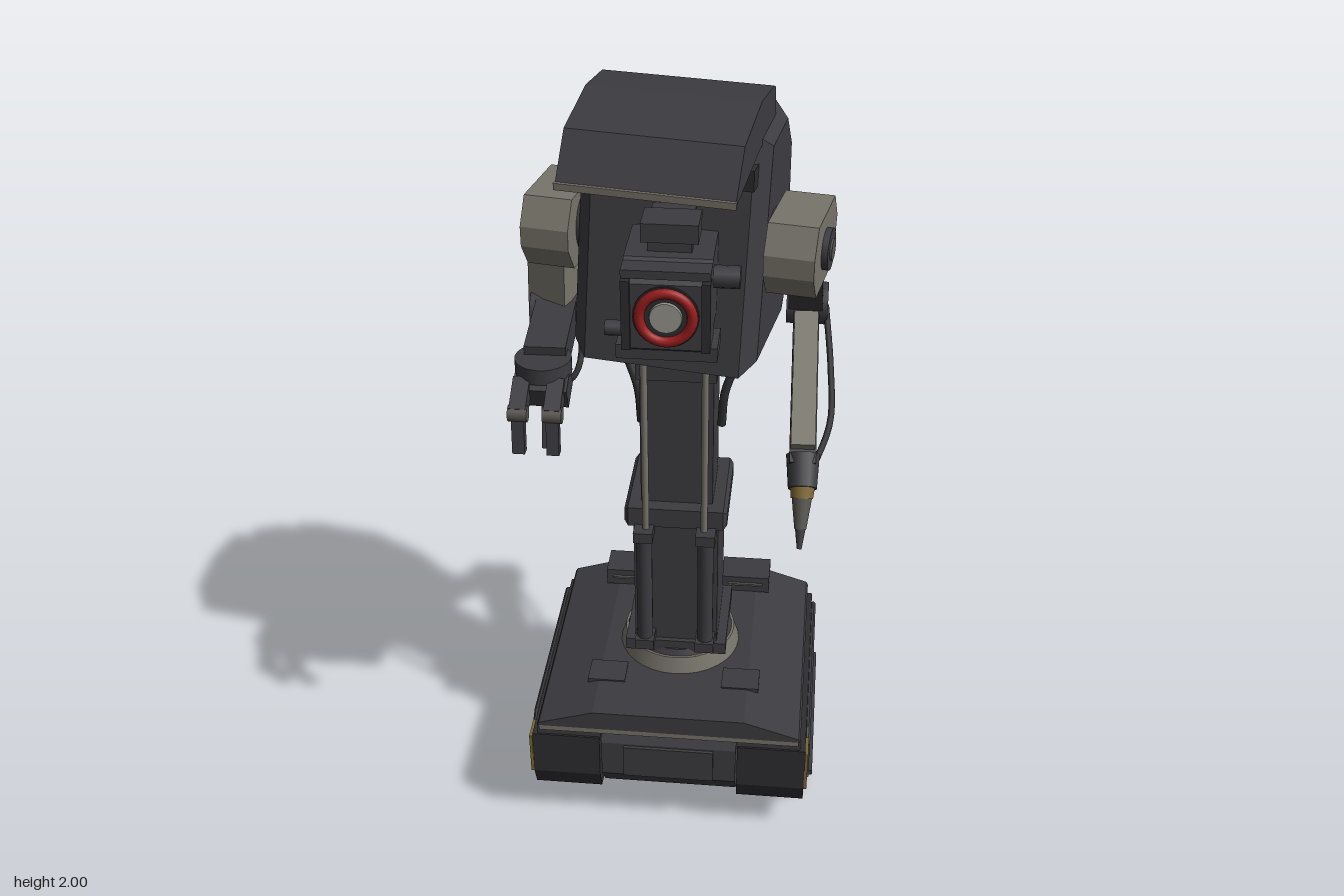
import * as THREE from 'three';

const mat = (name, color) => {
  const m = new THREE.MeshStandardMaterial({ color });
  m.name = name;
  return m;
};
const V = (x, y, z) => new THREE.Vector3(x, y, z);

export function createModel() {
  const dark = mat('charcoal', 0x3c3b40);
  const black = mat('trackBlack', 0x2d2d30);
  const light = mat('warmGrey', 0x77746a);
  const steel = mat('steel', 0x56554f);
  const gold = mat('ochre', 0x7d6534);
  const red = mat('red', 0x9a1c1c);
  const lens = mat('lens', 0x99968e);

  const root = new THREE.Group();
  const group = (name, parent = root) => {
    const g = new THREE.Group();
    g.name = name;
    parent.add(g);
    return g;
  };
  const add = (p, name, geo, m, x = 0, y = 0, z = 0) => {
    const o = new THREE.Mesh(geo, m);
    o.name = name;
    o.position.set(x, y, z);
    p.add(o);
    return o;
  };
  const box = (p, name, m, w, h, d, x, y, z) => add(p, name, new THREE.BoxGeometry(w, h, d), m, x, y, z);
  // side profile of [z, y] points, extruded across x with an optional chamfer
  const prism = (p, name, m, pts, w, x = 0, bevel = 0) => {
    const shape = new THREE.Shape(pts.map(([z, y]) => new THREE.Vector2(z, y)));
    const g = new THREE.ExtrudeGeometry(shape, {
      depth: w - 2 * bevel, bevelEnabled: bevel > 0, bevelSize: bevel, bevelThickness: bevel,
      bevelOffset: -bevel, bevelSegments: 1,
    });
    g.translate(0, 0, -(w / 2 - bevel));
    g.rotateY(-Math.PI / 2);
    return add(p, name, g, m, x);
  };
  const place = (p, name, g, m, a, b) => {
    const o = new THREE.Mesh(g, m);
    o.name = name;
    o.position.copy(a).lerp(b, 0.5);
    o.lookAt(b);
    p.add(o);
    return o;
  };
  const beam = (p, name, m, a, b, w, h) => place(p, name, new THREE.BoxGeometry(w, h, a.distanceTo(b)), m, a, b);
  const rod = (p, name, m, a, b, r0, r1 = r0, n = 14) =>
    place(p, name, new THREE.CylinderGeometry(r1, r0, a.distanceTo(b), n).rotateX(Math.PI / 2), m, a, b);
  const tube = (p, name, m, pts, r) =>
    add(p, name, new THREE.TubeGeometry(new THREE.CatmullRomCurve3(pts), 16, r, 8), m);

  // ---- Tracked base ----
  const base = group('trackedBase');
  prism(base, 'hull', dark, [[-0.3, 0.36], [-0.335, 0.3], [-0.335, 0.19], [-0.28, 0.115],
    [0.28, 0.115], [0.335, 0.19], [0.335, 0.3], [0.3, 0.36]], 0.36);
  box(base, 'deckEdge', light, 0.69, 0.015, 0.68, 0, 0.345, 0);
  const deck = new THREE.Shape([[-0.35, 0.352], [0.35, 0.352], [0.345, 0.362], [0.2, 0.408], [-0.2, 0.408], [-0.345, 0.362]]
    .map(([x, y]) => new THREE.Vector2(x, y)));
  add(base, 'deck', new THREE.ExtrudeGeometry(deck, { depth: 0.68, bevelEnabled: false }), dark, 0, 0, -0.34);
  for (const s of [-1, 1]) {
    box(base, 'bumperPlate', dark, 0.24, 0.1, 0.012, 0, 0.245, s * 0.338);
    prism(base, 'track', black, [[-0.34, 0.32], [-0.343, 0.18], [-0.32, 0.13], [-0.155, 0.005], [0.155, 0.005],
      [0.25, 0.115], [0.32, 0.13], [0.343, 0.19], [0.34, 0.32]], 0.18, s * 0.274);
    box(base, 'trackCover', dark, 0.17, 0.03, 0.67, s * 0.265, 0.325, 0);
    prism(base, 'skirt', dark, [[-0.3, 0.32], [-0.335, 0.29], [-0.33, 0.2], [-0.22, 0.13], [0.22, 0.13],
      [0.27, 0.18], [0.28, 0.29], [0.24, 0.32]], 0.016, s * 0.368, 0.005);
    box(base, 'skirtRail', dark, 0.012, 0.015, 0.5, s * 0.38, 0.16, 0);
    for (const z of [-0.125, 0, 0.125]) {
      const hub = V(s * 0.355, 0.088, z);
      rod(base, 'roadWheel', dark, hub, V(s * 0.374, 0.088, z), 0.058, 0.058, 24);
      add(base, 'wheelRing', new THREE.TorusGeometry(0.045, 0.005, 6, 28).rotateY(Math.PI / 2), light, s * 0.374, 0.088, z);
      rod(base, 'wheelHub', black, hub, V(s * 0.379, 0.088, z), 0.025);
    }
    box(base, 'markerSide', gold, 0.008, 0.125, 0.065, s * 0.368, 0.253, 0.312);
    box(base, 'deckBox', dark, 0.137, 0.05, 0.095, s * 0.168, 0.432, -0.267);
    box(base, 'deckBoxLid', steel, 0.1, 0.006, 0.012, s * 0.168, 0.435, -0.218);
    box(base, 'deckHatch', dark, 0.1, 0.02, 0.08, s * 0.18, 0.402, 0.17);
  }
  add(base, 'turntable', new THREE.CylinderGeometry(0.15, 0.165, 0.05, 32), light, 0, 0.428, 0);
  add(base, 'turntableTop', new THREE.CylinderGeometry(0.135, 0.145, 0.02, 32), dark, 0, 0.46, 0);

  // ---- Telescopic column ----
  const column = group('column');
  box(column, 'columnFoot', dark, 0.27, 0.035, 0.26, 0, 0.477, 0);
  box(column, 'lowerSleeve', dark, 0.22, 0.42, 0.235, 0, 0.68, 0);
  prism(column, 'sleeveCollar', dark, [[-0.13, 0.87], [0.13, 0.87], [0.13, 0.925], [-0.13, 0.925]], 0.265, 0, 0.01);
  box(column, 'upperColumn', dark, 0.185, 0.46, 0.185, 0, 1.14, 0);
  box(column, 'columnHead', dark, 0.2, 0.08, 0.21, 0, 1.33, 0);
  for (const s of [-1, 1]) {
    rod(column, 'liftCylinder', dark, V(s * 0.08, 0.49, 0.145), V(s * 0.08, 0.875, 0.145), 0.021);
    rod(column, 'liftRod', light, V(s * 0.075, 0.87, 0.142), V(s * 0.075, 1.37, 0.142), 0.009);
    for (const y of [0.51, 0.86]) box(column, 'cylinderClamp', dark, 0.05, 0.03, 0.06, s * 0.08, y, 0.142);
    tube(column, 'sideCable', black, [V(s * 0.175, 1.38, -0.06), V(s * 0.145, 1.28, -0.05),
      V(s * 0.112, 1.19, -0.03), V(s * 0.104, 1.09, -0.03)], 0.011);
    tube(column, 'rearCable', black, [V(s * 0.045, 1.42, -0.19), V(s * 0.045, 1.3, -0.17),
      V(s * 0.04, 1.22, -0.14), V(s * 0.04, 1.16, -0.09)], 0.014);
  }
  for (const x of [-0.065, -0.02, 0.025, 0.07])
    rod(column, 'rearPipe', dark, V(x, 0.47, -0.142), V(x, 0.88, -0.142), 0.011);
  for (const y of [0.6, 0.76]) box(column, 'pipeClamp', steel, 0.18, 0.016, 0.032, 0, y, -0.142);

  // ---- Torso, turned on the column ----
  const torso = group('torso');
  torso.rotation.y = -0.175;
  prism(torso, 'torsoShell', dark, [[0.175, 1.365], [0.055, 1.92], [-0.14, 1.935], [-0.212, 1.83],
    [-0.212, 1.45], [-0.15, 1.365]], 0.45, 0, 0.035);
  prism(torso, 'hood', dark, [[-0.09, 1.91], [-0.08, 1.985], [-0.06, 1.995], [0.06, 2], [0.215, 1.955],
    [0.29, 1.85], [0.275, 1.848], [0.08, 1.89]], 0.406);
  box(torso, 'hoodLip', light, 0.41, 0.016, 0.012, 0, 1.85, 0.287);
  box(torso, 'browBar', black, 0.4, 0.05, 0.05, 0, 1.83, 0.08);
  box(torso, 'grilleFrame', dark, 0.29, 0.33, 0.04, 0, 1.66, -0.225);
  box(torso, 'grilleRecess', black, 0.24, 0.28, 0.006, 0, 1.66, -0.246);
  for (let i = 0; i < 13; i++) box(torso, 'grilleSlat', black, 0.235, 0.01, 0.022, 0, 1.535 + i * 0.021, -0.255);

  // octagonal shoulder covers
  const side = [[-0.133, 1.67], [-0.09, 1.735], [0.1, 1.735], [0.138, 1.67], [0.138, 1.62],
    [0.1, 1.56], [-0.08, 1.56], [-0.115, 1.6]];
  for (const s of [-1, 1]) {
    prism(torso, 'shoulderCover', light, side, 0.118, s * 0.292);
    rod(torso, 'shoulderAxle', dark, V(s * 0.2, 1.645, 0), V(s * 0.24, 1.645, 0), 0.08, 0.08, 20);
    rod(torso, 'shoulderPivot', dark, V(s * 0.34, 1.645, 0.01), V(s * 0.366, 1.645, 0.01), 0.05, 0.05, 20);
    rod(torso, 'pivotCap', steel, V(s * 0.36, 1.645, 0.01), V(s * 0.371, 1.645, 0.01), 0.026, 0.026, 16);
  }

  // ---- Camera head ----
  const head = group('cameraHead');
  prism(head, 'cameraBody', dark, [[0.1, 1.7], [0.27, 1.7], [0.325, 1.66], [0.325, 1.5], [0.3, 1.475], [0.22, 1.52], [0.1, 1.52]], 0.2);
  box(head, 'cameraVisor', dark, 0.2, 0.02, 0.05, 0, 1.685, 0.305);
  box(head, 'cameraShelf', dark, 0.23, 0.035, 0.1, 0, 1.487, 0.27);
  for (const s of [-1, 1]) box(head, 'lensBracket', black, 0.02, 0.17, 0.016, s * 0.09, 1.585, 0.328);
  rod(head, 'lensBarrel', black, V(0, 1.583, 0.3), V(0, 1.583, 0.33), 0.075, 0.075, 28);
  add(head, 'lensRing', new THREE.TorusGeometry(0.06, 0.012, 10, 36), red, 0, 1.583, 0.332);
  rod(head, 'lensGlass', lens, V(0, 1.583, 0.32), V(0, 1.583, 0.336), 0.04, 0.036, 28);
  box(head, 'headNeck', dark, 0.1, 0.07, 0.12, 0, 1.73, 0.18);
  box(head, 'headCap', dark, 0.13, 0.045, 0.09, 0, 1.745, 0.2);
  rod(head, 'sideKnob', dark, V(0.09, 1.65, 0.25), V(0.16, 1.65, 0.25), 0.026);
  rod(head, 'sideStub', dark, V(-0.09, 1.52, 0.27), V(-0.145, 1.52, 0.27), 0.018);

  // ---- Left arm: folded back, with pointed tool ----
  const left = group('leftArm');
  const elbow = V(0.305, 1.357, -0.217), wrist = V(0.317, 1.1, 0.165);
  beam(left, 'upperArm', dark, V(0.3, 1.62, 0.04), elbow, 0.085, 0.07);
  rod(left, 'elbow', dark, V(0.255, 1.357, -0.217), V(0.36, 1.357, -0.217), 0.055, 0.055, 20);
  beam(left, 'forearm', dark, elbow, wrist, 0.065, 0.06);
  beam(left, 'forearmCover', light, V(0.307, 1.365, -0.14), V(0.316, 1.155, 0.16), 0.06, 0.03);
  rod(left, 'wristJoint', dark, V(0.317, 1.12, 0.14), V(0.32, 1.06, 0.2), 0.042, 0.036);
  rod(left, 'toolRing', gold, V(0.32, 1.07, 0.193), V(0.32, 1.04, 0.213), 0.032, 0.028);
  rod(left, 'toolCone', steel, V(0.32, 1.045, 0.21), V(0.32, 0.975, 0.25), 0.026, 0.015);
  rod(left, 'toolTip', dark, V(0.32, 0.98, 0.247), V(0.32, 0.932, 0.275), 0.014, 0.006);
  tube(left, 'armCable', black, [V(0.355, 1.36, -0.2), V(0.375, 1.24, -0.09), V(0.38, 1.15, 0.03), V(0.335, 1.07, 0.16)], 0.008);

  // ---- Right arm: bent forward, with gripper ----
  const right = group('rightArm');
  beam(right, 'upperArm', light, V(-0.31, 1.62, -0.06), V(-0.315, 1.38, -0.05), 0.11, 0.085);
  rod(right, 'elbow', dark, V(-0.375, 1.39, -0.055), V(-0.25, 1.39, -0.055), 0.058, 0.058, 20);
  beam(right, 'forearm', dark, V(-0.31, 1.4, -0.04), V(-0.305, 1.375, 0.18), 0.1, 0.075);
  rod(right, 'wristDisc', dark, V(-0.308, 1.35, 0.19), V(-0.308, 1.39, 0.19), 0.068, 0.068, 24);
  beam(right, 'palm', dark, V(-0.308, 1.34, 0.18), V(-0.308, 1.31, 0.25), 0.13, 0.06);
  tube(right, 'armCable', black, [V(-0.26, 1.38, -0.1), V(-0.26, 1.25, -0.05), V(-0.27, 1.25, 0.05), V(-0.29, 1.34, 0.16)], 0.008);
  for (const x of [-0.352, -0.27]) {
    const a = V(x, 1.345, 0.23), b = V(x, 1.3, 0.305), c = V(x, 1.2, 0.315);
    beam(right, 'fingerBase', dark, a, b, 0.04, 0.042);
    rod(right, 'fingerKnuckle', steel, V(x - 0.023, 1.3, 0.305), V(x + 0.023, 1.3, 0.305), 0.02);
    beam(right, 'fingerTip', dark, b, c, 0.03, 0.026);
  }
  beam(right, 'thumbBase', dark, V(-0.308, 1.34, 0.18), V(-0.308, 1.25, 0.15), 0.04, 0.035);
  beam(right, 'thumbTip', dark, V(-0.308, 1.26, 0.15), V(-0.308, 1.13, 0.18), 0.03, 0.024);

  return root;
}
